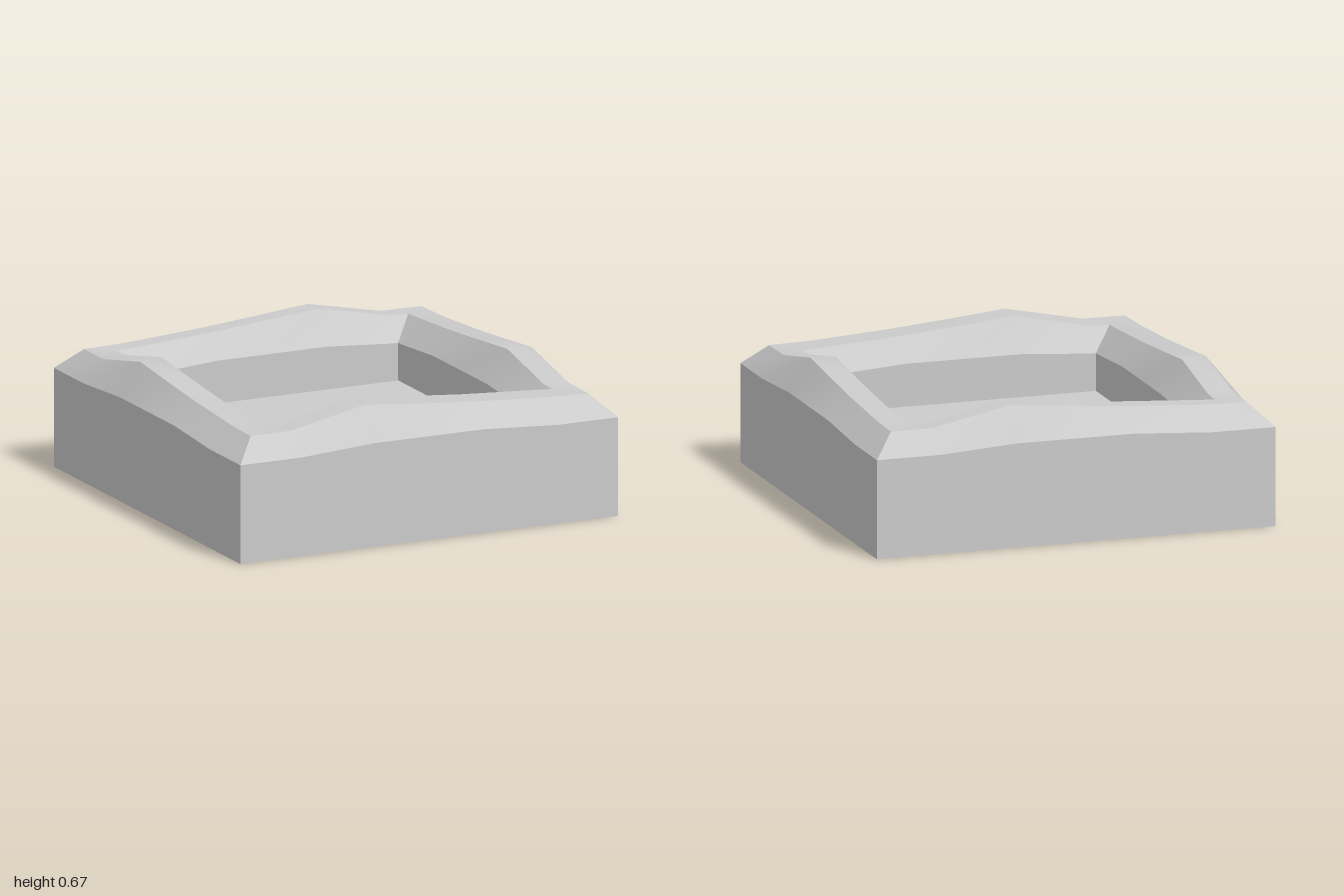
import * as THREE from 'three';
import { toCreasedNormals } from 'three/addons/utils/BufferGeometryUtils.js';

// Heights at the seven stations along each side, left to right seen from outside
const EDGE = [0.485, 0.485, 0.51, 0.51, 0.51, 0.485, 0.485];
const RIDGE = [0.59, 0.592, 0.672, 0.645, 0.62, 0.595, 0.59];
const flat = (y) => Array(7).fill(y);

// One square ring: half size, heights, and centre; the side profile turns four times
function ring(half, heights, cx = 0, cz = 0) {
  const far = Math.min(0.68, half * 0.95);
  const stations = [-half, -far, -0.29, 0, 0.29, far];
  const points = [];
  for (let side = 0; side < 4; side++) {
    const c = Math.cos(side * Math.PI / 2), s = Math.sin(side * Math.PI / 2);
    stations.forEach((t, i) => {
      points.push(new THREE.Vector3(cx + t * c + half * s, heights[i], cz + half * c - t * s));
    });
  }
  return points;
}

function toMesh(name, triangles) {
  const geometry = new THREE.BufferGeometry().setFromPoints(triangles);
  const mesh = new THREE.Mesh(
    toCreasedNormals(geometry, THREE.MathUtils.degToRad(25)),
    new THREE.MeshStandardMaterial({ color: 0xcccccc })
  );
  mesh.name = name;
  return mesh;
}

// Skin successive rings
function skin(name, rings) {
  const tris = [];
  for (let k = 0; k + 1 < rings.length; k++) {
    const lo = rings[k], hi = rings[k + 1], n = lo.length;
    for (let i = 0; i < n; i++) {
      const j = (i + 1) % n;
      tris.push(lo[i], lo[j], hi[j], lo[i], hi[j], hi[i]);
    }
  }
  return toMesh(name, tris);
}

// Fill a flat ring, facing up or down
function cap(name, points, up) {
  const centre = points.reduce((sum, p) => sum.add(p), new THREE.Vector3()).divideScalar(points.length);
  const tris = [];
  points.forEach((p, i) => {
    const q = points[(i + 1) % points.length];
    if (up) tris.push(centre, p, q);
    else tris.push(centre, q, p);
  });
  return toMesh(name, tris);
}

export function createModel() {
  const group = new THREE.Group();
  group.name = 'squareBasin';
  const cx = 0.005, cz = -0.025; // the recess sits slightly off centre

  const base = ring(1, flat(0));
  const edge = ring(1, EDGE);
  const ridgeOuter = ring(0.893, RIDGE);
  const ridgeInner = ring(0.77, RIDGE, cx, cz);
  const lip = ring(0.665, EDGE, cx, cz);
  const floor = ring(0.665, flat(0.3), cx, cz);

  group.add(
    skin('outerWalls', [base, edge]),
    skin('wavyRim', [edge, ridgeOuter, ridgeInner, lip]),
    skin('recessWalls', [lip, floor]),
    cap('recessFloor', floor, true),
    cap('underside', base, false)
  );
  return group;
}
